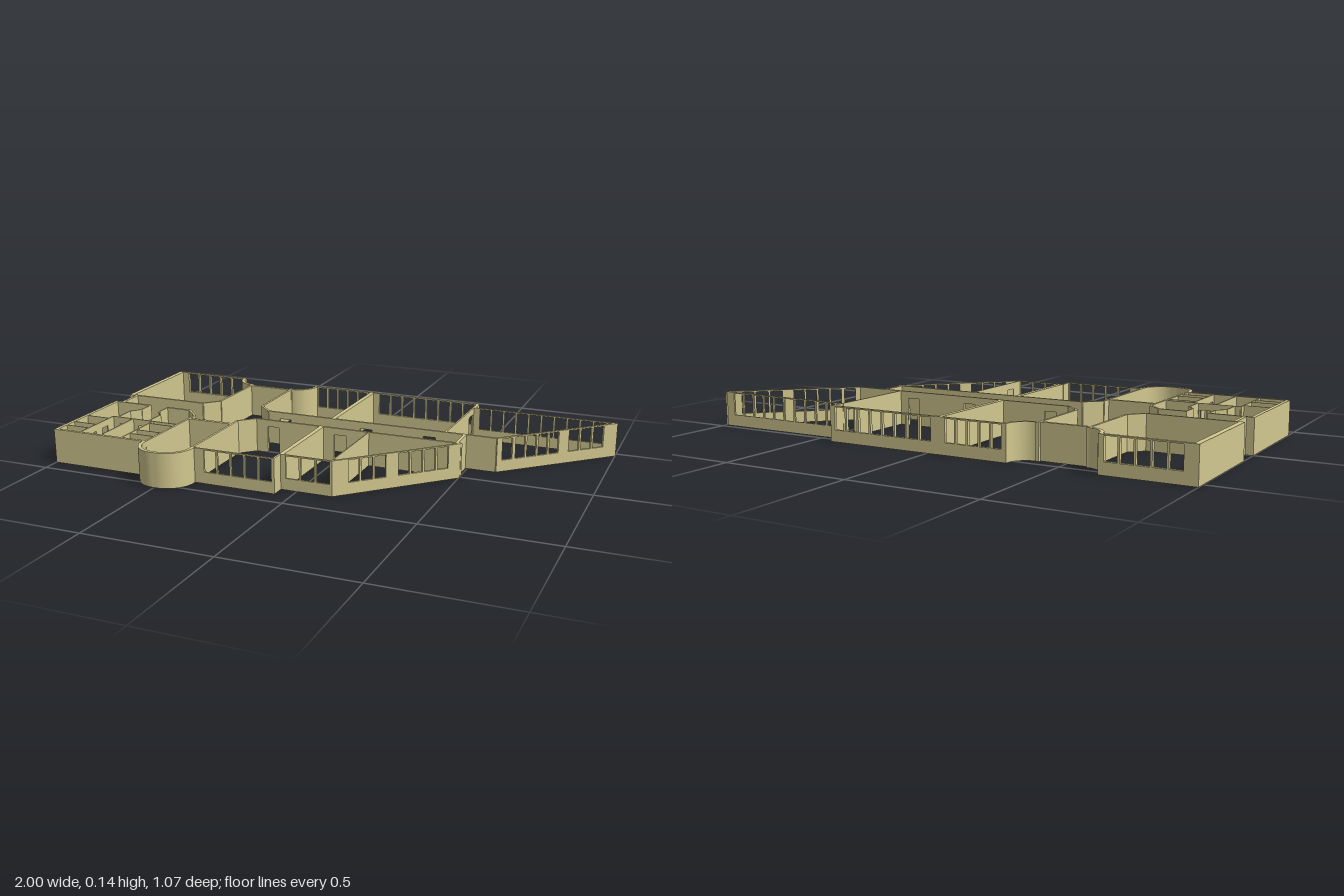
import * as THREE from 'three';

const H = 0.135, SILL = 0.045, HEAD = 0.13, DOOR = 0.108;

export function createModel() {
  const model = new THREE.Group();
  const mat = new THREE.MeshStandardMaterial({ color: 0xd2c88f, side: THREE.DoubleSide });

  // Straight wall from a to b in plan; windows and doors are [start, end] along its length
  function wall(name, a, b, t = 0.01, windows = [], doors = []) {
    const dx = b[0] - a[0], dz = b[1] - a[1], L = Math.hypot(dx, dz);
    const s = new THREE.Shape();
    s.moveTo(0, 0);
    for (const [p, q] of doors) {
      s.lineTo(p, 0); s.lineTo(p, DOOR); s.lineTo(q, DOOR); s.lineTo(q, 0);
    }
    s.lineTo(L, 0); s.lineTo(L, H); s.lineTo(0, H); s.closePath();
    for (const [p, q] of windows) {
      const h = new THREE.Path();
      h.moveTo(p, SILL); h.lineTo(p, HEAD); h.lineTo(q, HEAD); h.lineTo(q, SILL); h.closePath();
      s.holes.push(h);
    }
    const g = new THREE.ExtrudeGeometry(s, { depth: t, bevelEnabled: false });
    g.translate(0, 0, -t / 2);
    const m = new THREE.Mesh(g, mat);
    m.position.set(a[0], 0, a[1]);
    m.rotation.y = -Math.atan2(dz, dx);
    m.name = name;
    model.add(m);
  }

  // Connected run of plain walls
  function run(name, pts, t) {
    for (let i = 1; i < pts.length; i++) wall(name, pts[i - 1], pts[i], t);
  }

  // Curved wall in plan, angles measured from +x towards +z
  function curve(name, cx, cz, r, a0, a1, t = 0.014) {
    const s = new THREE.Shape();
    s.absarc(0, 0, r + t / 2, a0, a1, false);
    s.absarc(0, 0, r - t / 2, a1, a0, true);
    s.closePath();
    const g = new THREE.ExtrudeGeometry(s, { depth: H, bevelEnabled: false, curveSegments: 16 });
    g.rotateX(Math.PI / 2);
    g.translate(cx, H, cz);
    const m = new THREE.Mesh(g, mat);
    m.name = name;
    model.add(m);
  }

  // Evenly spaced row of n openings between s and e
  const row = (s, e, n, gap = 0.008) => {
    const p = (e - s + gap) / n;
    return Array.from({ length: n }, (_, i) => [s + i * p, s + (i + 1) * p - gap]);
  };
  const PI = Math.PI;

  // Back outer walls
  wall('backLeftWall', [-1, -0.533], [-0.66, -0.533], 0.014, row(0.05, 0.32, 5));
  curve('backCurveLeft', -0.585, -0.533, 0.078, PI / 2, PI);
  wall('backBayWall', [-0.59, -0.442], [-0.395, -0.442], 0.014);
  run('backBayReturn', [[-0.587, -0.462], [-0.587, -0.44]], 0.012);
  run('backBayReturn', [[-0.398, -0.462], [-0.398, -0.44]], 0.012);
  curve('backCurveRight', -0.395, -0.533, 0.083, 0, PI / 2);
  wall('backMiddleWall', [-0.32, -0.53], [0.425, -0.53], 0.012, [...row(0.02, 0.245, 5), ...row(0.305, 0.725, 8)]);
  wall('backStep', [0.42, -0.535], [0.42, -0.475], 0.012);
  wall('backRightWall', [0.415, -0.475], [0.992, -0.475], 0.006, row(0.03, 0.54, 10));

  // Slanted outer walls
  const D = Math.SQRT2;
  wall('backSlantedWall', [0.998, -0.478], [0.61, -0.11], 0.01,
    [...row(0.062, 0.22, 3), ...row(0.265, 0.455, 4), [0.468, 0.512]]);
  wall('frontSlantedWall', [0.505, 0], [0.135, 0.37], 0.01,
    [...row(0.04 * D, 0.185 * D, 4), ...row(0.22 * D, 0.325 * D, 3)]);

  // Left outer walls
  wall('leftBackWall', [-0.99, -0.535], [-0.99, -0.108], 0.02);
  wall('leftFrontWall', [-0.993, 0], [-0.993, 0.43], 0.014);

  // Corridor
  wall('corridorBackLeft', [-1, -0.11], [-0.645, -0.11], 0.01);
  wall('corridorBackRight', [-0.34, -0.11], [0.61, -0.11], 0.01, [], [[0.05, 0.1], [0.4, 0.45], [0.66, 0.71]]);
  wall('corridorFrontLeft', [-1, 0.003], [-0.83, 0.003], 0.01);
  wall('corridorFrontMiddle', [-0.75, 0.003], [-0.645, 0.003], 0.01);
  wall('corridorFrontRight', [-0.34, 0.003], [0.505, 0.003], 0.01, [], [[0.05, 0.1], [0.335, 0.385]]);
  wall('corridorLeftEnd', [-0.965, -0.11], [-0.965, 0], 0.012);
  wall('corridorRightEnd', [0.487, -0.11], [0.487, 0.003], 0.012);

  // Back rooms
  run('backHallLeftWall', [[-0.587, -0.45], [-0.593, -0.165], [-0.645, -0.11]], 0.009);
  run('backHallRightWall', [[-0.398, -0.45], [-0.398, -0.165], [-0.34, -0.11]], 0.009);
  wall('backRoomDivider', [-0.05, -0.53], [-0.057, -0.11], 0.018);
  wall('backTriangleDivider', [0.416, -0.475], [0.409, -0.11], 0.006, [], [[0.015, 0.065]]);

  // Front rooms
  run('frontHallLeftWall', [[-0.645, 0.003], [-0.59, 0.06], [-0.594, 0.43]], 0.009);
  run('frontHallRightWall', [[-0.34, 0.003], [-0.398, 0.06], [-0.398, 0.43]], 0.009);
  wall('frontHallCrossWall', [-0.592, 0.106], [-0.398, 0.106], 0.014);
  wall('frontRoomDivider', [-0.058, 0], [-0.06, 0.372], 0.018);
  wall('frontStep', [-0.067, 0.37], [-0.067, 0.427], 0.008);
  wall('frontMiddleWall', [-0.4, 0.423], [-0.065, 0.423], 0.008, row(0.052, 0.325, 5));
  wall('frontRightWall', [-0.065, 0.37], [0.138, 0.37], 0.007, row(0.022, 0.195, 3));
  wall('frontTriangleDivider', [0.137, 0.003], [0.135, 0.37], 0.004, [], [[0.26, 0.31]]);
  wall('frontLeftWall', [-1, 0.426], [-0.595, 0.426], 0.012);

  // Rounded bay
  curve('frontBayCurveLeft', -0.505, 0.435, 0.092, PI / 2, PI);
  curve('frontBayCurveRight', -0.487, 0.435, 0.092, 0, PI / 2);
  wall('frontBayFace', [-0.505, 0.527], [-0.487, 0.527], 0.014);
  wall('frontBaySide', [-0.597, 0.42], [-0.597, 0.436], 0.014);
  wall('frontBaySide', [-0.395, 0.42], [-0.395, 0.436], 0.014);

  // Washroom entrance and stalls
  run('washroomEntryLeft', [[-0.832, 0], [-0.832, 0.07], [-0.863, 0.108], [-0.863, 0.195]], 0.005);
  run('washroomEntryRight', [[-0.749, 0], [-0.749, 0.07], [-0.722, 0.105], [-0.722, 0.195]], 0.005);
  wall('washroomCrossWall', [-0.885, 0.195], [-0.595, 0.195], 0.005, [], [[0.03, 0.075], [0.115, 0.16]]);
  const stallDoors = [[0.045, 0.085], [0.125, 0.16], [0.18, 0.215]];
  wall('stallFrontLeft', [-0.886, 0.195], [-0.886, 0.425], 0.005, [], stallDoors);
  wall('washroomDivider', [-0.793, 0.195], [-0.793, 0.425], 0.005);
  wall('stallFrontRight', [-0.702, 0.195], [-0.702, 0.425], 0.005, [], stallDoors);
  for (const z of [0.225, 0.315, 0.365]) {
    wall('stallPartitionLeft', [-0.99, z], [-0.886, z], 0.004);
    wall('stallPartitionRight', [-0.702, z], [-0.595, z], 0.004);
  }
  return model;
}
